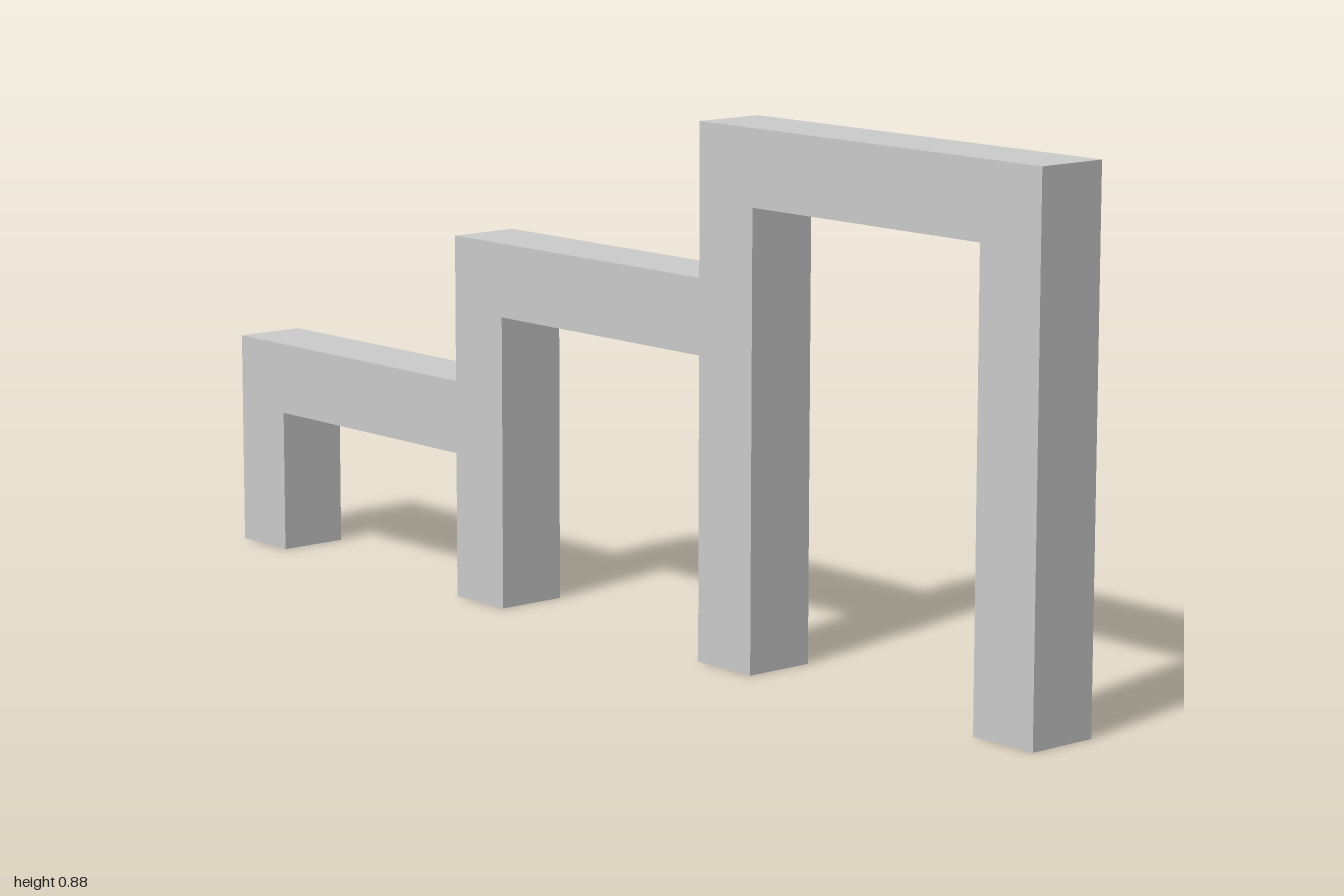
import * as THREE from 'three';

const BAR = 0.125;   // thickness of every post and beam
const PITCH = 0.625; // spacing between posts
const HEIGHTS = [0.375, 0.625, 0.875];

export function createModel() {
  const group = new THREE.Group();
  group.name = 'steppedBars';
  const postX = (i) => -1 + i * PITCH; // left edge of post i

  // Stepped top edge, from the low end to the high end
  const outline = [[-1, 0]];
  HEIGHTS.forEach((h, i) => {
    const end = i === HEIGHTS.length - 1 ? 1 : postX(i + 1);
    outline.push([postX(i), h], [end, h]);
  });
  outline.push([1, 0]);

  // Underside, going back around each opening between posts
  for (let i = HEIGHTS.length - 1; i >= 0; i--) {
    const right = postX(i + 1), left = postX(i) + BAR, y = HEIGHTS[i] - BAR;
    outline.push([right, 0], [right, y], [left, y], [left, 0]);
  }

  const shape = new THREE.Shape(outline.map(([x, y]) => new THREE.Vector2(x, y)));
  const geometry = new THREE.ExtrudeGeometry(shape, { depth: BAR, bevelEnabled: false });
  geometry.translate(0, 0, -BAR / 2);

  const frame = new THREE.Mesh(
    geometry,
    new THREE.MeshStandardMaterial({ color: 0xcccccc, flatShading: true })
  );
  frame.name = 'steppedFrame';
  group.add(frame);
  return group;
}
